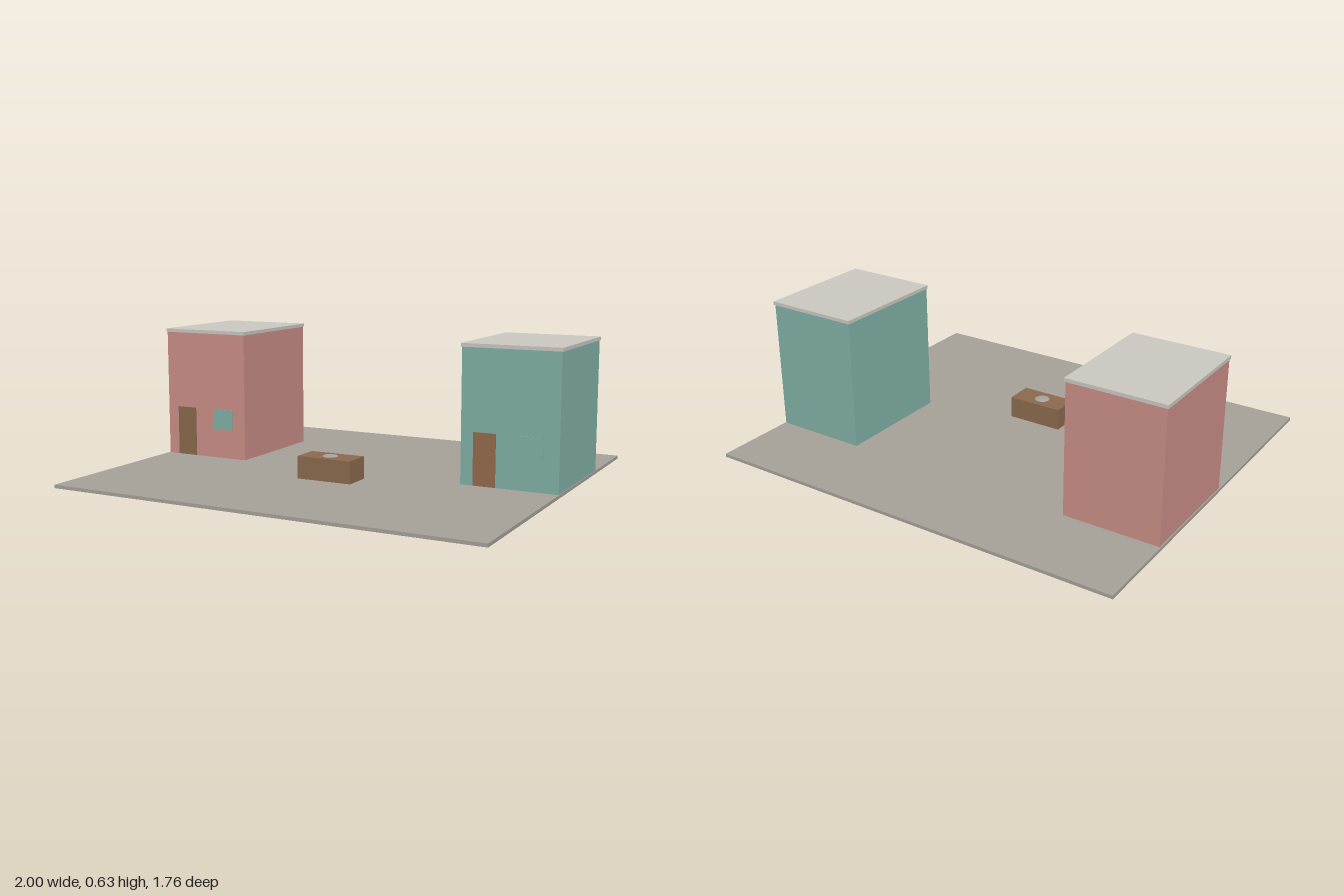
import * as THREE from 'three';

function material(name, color) {
  const m = new THREE.MeshStandardMaterial({ color });
  m.name = name;
  return m;
}

// Box given by its extents along x, y and z
function slab(name, mat, [x0, x1], [y0, y1], [z0, z1]) {
  const mesh = new THREE.Mesh(new THREE.BoxGeometry(x1 - x0, y1 - y0, z1 - z0), mat);
  mesh.position.set((x0 + x1) / 2, (y0 + y1) / 2, (z0 + z1) / 2);
  mesh.name = name;
  return mesh;
}

export function createModel() {
  const paving = material('paving grey', 0xa5a198);
  const roofGrey = material('roof grey', 0xcac7c0);
  const rose = material('rose wall', 0xc98d86);
  const teal = material('teal', 0x80afa4);
  const wood = material('wood brown', 0x8b6a4e);
  const darkWood = material('door olive brown', 0x89694c);
  const warmWood = material('door warm brown', 0x92694b);
  const stone = material('bowl grey', 0xa3a29d);

  const model = new THREE.Group();
  model.name = 'townSquare';
  model.add(slab('ground', paving, [-1, 0.994], [0, 0.015], [-0.881, 0.881]));

  // House: body, overhanging roof slab, thin door and window on the front
  function house(name, x, wall, doorMat) {
    const g = new THREE.Group();
    g.name = name;
    g.add(slab('walls', wall, [-0.22, 0.22], [0.015, 0.614], [-0.497, 0.058]));
    g.add(slab('roof', roofGrey, [-0.225, 0.225], [0.614, 0.63], [-0.502, 0.062]));
    g.add(slab('door', doorMat, [-0.162, -0.06], [0.016, 0.25], [0.056, 0.062]));
    g.add(slab('window', teal, [0.043, 0.15], [0.153, 0.25], [0.056, 0.062]));
    g.position.x = x;
    return g;
  }
  model.add(house('rightHouse', -0.775, rose, darkWood));
  model.add(house('leftHouse', 0.771, teal, warmWood));

  // Market stall with a shallow rounded piece on top
  const stall = new THREE.Group();
  stall.name = 'stall';
  stall.add(slab('counter', wood, [-0.133, 0.131], [0.015, 0.116], [0.153, 0.284]));
  const dome = new THREE.Mesh(new THREE.SphereGeometry(0.036, 24, 12), stone);
  dome.name = 'dish';
  dome.scale.y = 0.25;
  dome.position.set(-0.002, 0.115, 0.219);
  stall.add(dome);
  model.add(stall);

  return model;
}
